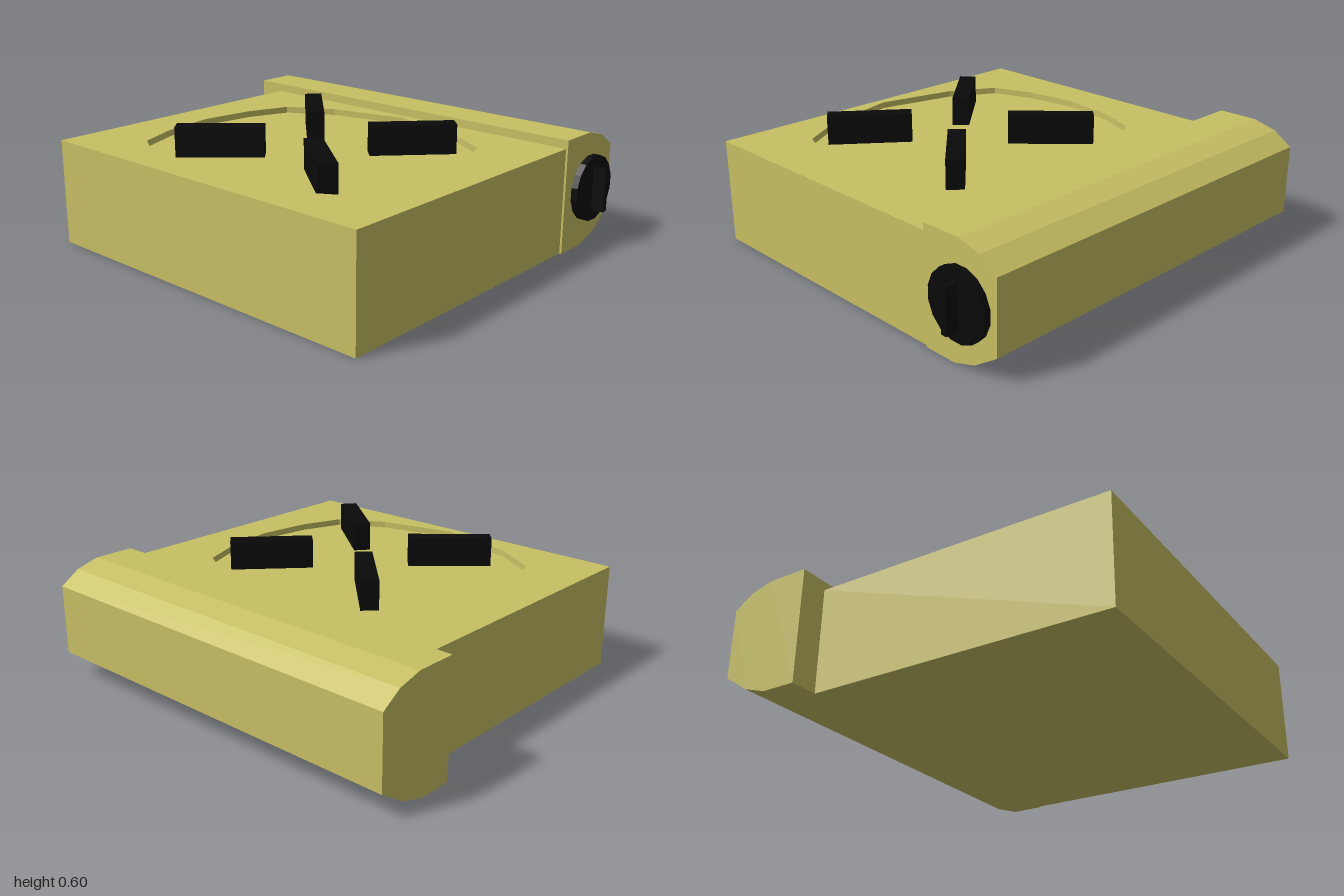
import * as THREE from 'three';

const shell = new THREE.MeshStandardMaterial({ color: 0xc8c064, flatShading: true });
const black = new THREE.MeshStandardMaterial({ color: 0x0a0a0a, flatShading: true });

function add(group, name, geometry, material) {
  const mesh = new THREE.Mesh(geometry, material);
  mesh.name = name;
  group.add(mesh);
  return mesh;
}

// Extrude a plan shape (x, -z) upward from the ground
function extrudeUp(shape, height) {
  const g = new THREE.ExtrudeGeometry(shape, { depth: height, bevelEnabled: false });
  return g.rotateX(-Math.PI / 2);
}

const points = (list) => list.map(([x, y]) => new THREE.Vector2(x, y));

// Sixteen-sided recess outline, mirrored from one quarter
function recessOutline() {
  const quarter = [[0.663, 0], [0.575, 0.373], [0.45, 0.588], [0.255, 0.663], [0, 0.7]];
  const half = [...quarter, ...quarter.slice(0, 4).reverse().map(([x, y]) => [-x, y])];
  const full = [...half, ...half.slice(1, -1).reverse().map(([x, y]) => [x, -y])];
  return points(full.map(([x, y]) => [x - 0.197, y - 0.012]));
}

export function createModel() {
  const group = new THREE.Group();
  group.name = 'campStove';

  // Box body with a shallow burner recess
  const outline = recessOutline();
  const plan = new THREE.Shape(points([[-0.9, -0.9], [0.5, -0.9], [0.5, 0.87], [-0.9, 0.87]]));
  plan.holes.push(new THREE.Path(outline));
  add(group, 'body', extrudeUp(plan, 0.49), shell);
  add(group, 'burnerRecessFloor', extrudeUp(new THREE.Shape(outline), 0.46), shell);

  // Side compartment with chamfered outer edges
  const profile = new THREE.Shape(points([
    [0.5, 0], [0.66, 0], [0.77, 0.035], [0.89, 0.115],
    [0.89, 0.44], [0.8, 0.5], [0.69, 0.53], [0.5, 0.53],
  ]));
  const side = new THREE.ExtrudeGeometry(profile, { depth: 1.91, bevelEnabled: false });
  add(group, 'sideCompartment', side.translate(0, 0, -1), shell);

  // Four pot supports, given by their inner and outer ends (x, z)
  const supports = [
    [-0.38, -0.085, -0.64, -0.375], [-0.055, -0.085, 0.225, -0.365],
    [-0.39, 0.215, -0.63, 0.52], [-0.055, 0.235, 0.225, 0.5],
  ];
  for (const [x1, z1, x2, z2] of supports) {
    const length = Math.hypot(x2 - x1, z2 - z1);
    const bar = add(group, 'potSupport', new THREE.BoxGeometry(length, 0.135, 0.08), black);
    bar.position.set((x1 + x2) / 2, 0.5275, (z1 + z2) / 2);
    bar.rotation.y = -Math.atan2(z2 - z1, x2 - x1);
  }

  // Control knob and its grip
  const knob = new THREE.Group();
  knob.name = 'controlKnob';
  knob.position.set(0.705, 0.27, 0);
  const dial = new THREE.CylinderGeometry(0.155, 0.155, 0.03, 16, 1, false, Math.PI / 16);
  add(knob, 'dial', dial.rotateX(Math.PI / 2), black).position.z = 0.925;
  add(knob, 'grip', new THREE.BoxGeometry(0.028, 0.2, 0.06), black).position.z = 0.97;
  group.add(knob);

  return group;
}
